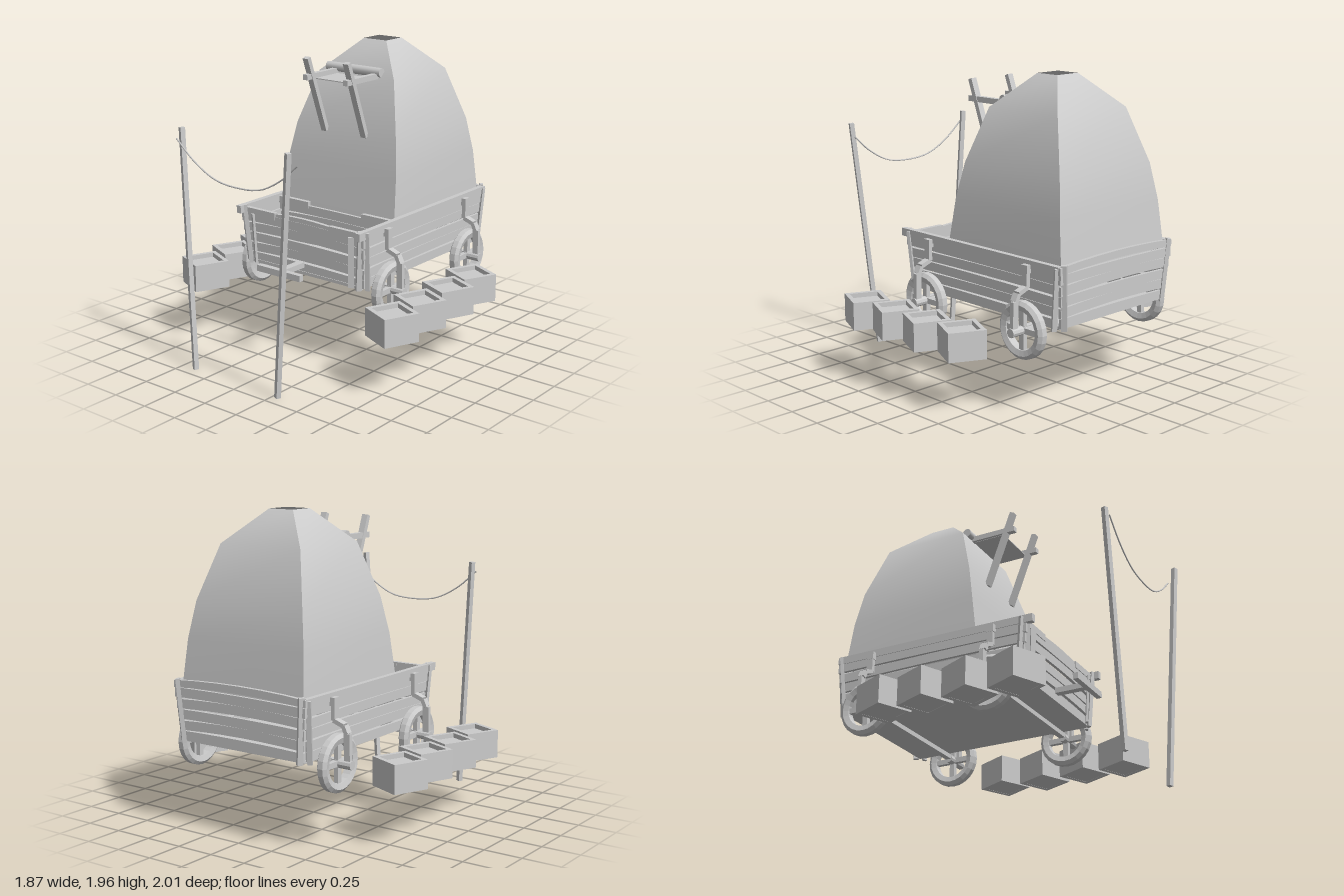
import * as THREE from 'three';

const mat = new THREE.MeshStandardMaterial({ color: 0xcccccc });
const flat = new THREE.MeshStandardMaterial({ color: 0xcccccc, flatShading: true });
const thin = new THREE.MeshStandardMaterial({ color: 0xcccccc, side: THREE.DoubleSide });

function add(parent, name, geo, x = 0, y = 0, z = 0, material = flat) {
  const m = new THREE.Mesh(geo, material);
  m.name = name;
  m.position.set(x, y, z);
  parent.add(m);
  return m;
}

function group(parent, name) {
  const g = new THREE.Group();
  g.name = name;
  parent.add(g);
  return g;
}

function box(parent, name, w, h, d, x, y, z) {
  return add(parent, name, new THREE.BoxGeometry(w, h, d), x, y, z);
}

// Square beam between two points
function beam(parent, name, a, b, w, h) {
  const from = new THREE.Vector3(...a), to = new THREE.Vector3(...b);
  const m = add(parent, name, new THREE.BoxGeometry(w, h, from.distanceTo(to)));
  m.position.copy(from).add(to).multiplyScalar(0.5);
  m.lookAt(to);
  return m;
}

// Plank along x whose middle is lifted by bow
function plank(parent, name, length, height, depth, y, z, bow) {
  const geo = new THREE.BoxGeometry(length, height, depth, 6, 1, 1);
  const p = geo.attributes.position;
  for (let i = 0; i < p.count; i++) {
    const t = p.getX(i) / (length / 2);
    p.setY(i, p.getY(i) + bow * (1 - t * t));
  }
  return add(parent, name, geo, 0, y, z);
}

// Wall of bowed planks, leaning outward (+z) towards the top
function plankWall(parent, name, length, lean, bow) {
  const wall = group(parent, name);
  for (let i = 0; i < 5; i++) {
    const t = i / 4;
    const p = plank(wall, 'plank', length + 0.07 * t, 0.058, 0.02,
      0.6 + i * 0.068, lean * t, bow * (i % 2 ? 1 : 0.5));
    p.rotation.z = (i % 2 ? 1 : -1) * 0.004;
  }
  return wall;
}

// Cloth cover: five rectangular rings, each side smooth, corners sharp
function coverGeometry() {
  // y, half width, front z, back z
  const rings = [
    [0.9, 0.46, 0, -0.96], [1.2, 0.438, -0.045, -0.925], [1.43, 0.4, -0.09, -0.885],
    [1.77, 0.3, -0.2, -0.77], [1.975, 0.09, -0.4, -0.565],
  ];
  const corner = ([y, x, f, b], k) => [[-x, y, f], [x, y, f], [x, y, b], [-x, y, b]][k % 4];
  const pos = [], idx = [];
  for (let s = 0; s < 4; s++) {
    rings.forEach((r, i) => {
      const n = pos.length / 3;
      pos.push(...corner(r, s), ...corner(r, s + 1));
      if (i < rings.length - 1) idx.push(n, n + 1, n + 3, n, n + 3, n + 2);
    });
  }
  const geo = new THREE.BufferGeometry();
  geo.setAttribute('position', new THREE.Float32BufferAttribute(pos, 3));
  geo.setIndex(idx);
  geo.computeVertexNormals();
  return geo;
}

function addWheel(parent, side, z) {
  const wheel = group(parent, 'wheel');
  wheel.position.set(side * 0.535, 0.535, z);
  // Rim with rounded tread
  const profile = [[0.12, -0.025], [0.155, -0.035], [0.177, -0.018], [0.177, 0.018],
    [0.155, 0.035], [0.12, 0.025], [0.12, -0.025]].map(([r, h]) => new THREE.Vector2(r, h));
  add(wheel, 'rim', new THREE.LatheGeometry(profile, 24)).rotation.z = Math.PI / 2;
  box(wheel, 'spoke', 0.03, 0.26, 0.035, 0, 0, 0);
  box(wheel, 'spoke', 0.03, 0.035, 0.26, 0, 0, 0);
  add(wheel, 'hub', new THREE.CylinderGeometry(0.028, 0.028, 0.17, 10), side * 0.02, 0, 0)
    .rotation.z = Math.PI / 2;
  // Bent bracket from the cart side over the wheel to the hub
  const bracket = group(parent, 'wheelBracket');
  const path = [[0.515, 0.91], [0.515, 0.79], [0.585, 0.765], [0.607, 0.72], [0.61, 0.53]];
  for (let i = 1; i < path.length; i++) {
    const [a, b] = [path[i - 1], path[i]];
    beam(bracket, 'bracketBar', [side * a[0], a[1], z], [side * b[0], b[1], z], 0.027, 0.042)
      .rotateZ(Math.abs(a[0] - b[0]) < 0.01 ? 0 : Math.PI / 2);
  }
  box(bracket, 'bracketCap', 0.04, 0.05, 0.05, side * 0.51, 0.9, z);
}

function addCrate(parent, x, z, angle) {
  const crate = group(parent, 'crate');
  crate.position.set(x, 0.36, z);
  crate.rotation.y = -angle;
  const s = 0.118, n = 0.09;
  const shape = new THREE.Shape([[-s, -s], [s, -s], [s, s], [-s, s]].map(p => new THREE.Vector2(...p)));
  shape.holes.push(new THREE.Path([[-n, -n], [-n, n], [n, n], [n, -n]].map(p => new THREE.Vector2(...p))));
  add(crate, 'crateWalls', new THREE.ExtrudeGeometry(shape, { depth: 0.18, bevelEnabled: false }))
    .rotation.x = -Math.PI / 2;
  box(crate, 'crateFilling', 0.18, 0.15, 0.18, 0, 0.076, 0);
}

export function createModel() {
  const model = new THREE.Group();
  model.name = 'coveredCart';

  // Cart bed
  const cart = group(model, 'cart');
  box(cart, 'floor', 0.92, 0.02, 1.28, 0, 0.575, -0.31);
  plankWall(cart, 'frontWall', 0.92, 0.025, 0.015).position.z = 0.315;
  plankWall(cart, 'partition', 0.86, 0, 0.015).position.z = 0.01;
  const back = plankWall(cart, 'backWall', 0.92, 0.025, 0.015);
  back.position.z = -0.955;
  back.rotation.y = Math.PI;
  for (const side of [-1, 1]) {
    const wall = plankWall(cart, 'sideWall', 1.26, 0.02, 0.008);
    wall.position.set(side * 0.465, 0, -0.305);
    wall.rotation.y = side * Math.PI / 2;
    box(cart, 'sideRail', 0.035, 0.05, 1.38, side * 0.482, 0.925, -0.285);
    // Corner and wall posts
    beam(cart, 'frontPost', [side * 0.44, 0.56, 0.335], [side * 0.47, 0.95, 0.355], 0.035, 0.025);
    beam(cart, 'backPost', [side * 0.44, 0.56, -0.97], [side * 0.47, 0.96, -0.99], 0.035, 0.025);
    beam(cart, 'innerPost', [side * 0.39, 0.57, 0.345], [side * 0.4, 0.9, 0.36], 0.035, 0.015);
    beam(cart, 'sidePost', [side * 0.485, 0.56, 0.3], [side * 0.5, 0.94, 0.335], 0.03, 0.02);
    beam(cart, 'sidePost', [side * 0.485, 0.56, -0.93], [side * 0.5, 0.94, -0.965], 0.03, 0.02);
    for (const z of [0.34, 0.01]) box(cart, 'railEnd', 0.25, 0.045, 0.03, side * 0.345, 0.912, z);
  }
  plank(cart, 'frontRail', 0.5, 0.03, 0.025, 0.91, 0.335, 0.012);
  plank(cart, 'backRail', 1.0, 0.045, 0.025, 0.925, -0.978, 0.02);

  // Running gear
  const gear = group(model, 'runningGear');
  for (const z of [0.13, -0.73]) {
    box(gear, 'axle', 1.08, 0.03, 0.04, 0, 0.545, z);
    for (const side of [-1, 1]) addWheel(gear, side, z);
  }
  box(gear, 'drawbar', 0.05, 0.035, 0.2, -0.02, 0.632, 0.43);
  box(gear, 'drawbarHandle', 0.35, 0.04, 0.035, -0.02, 0.632, 0.54);

  // Cloth cover, open at the crown
  add(model, 'cover', coverGeometry(), 0, 0, 0, thin);

  // Front awning: struts, arms, roller and cloth
  const awning = group(model, 'awning');
  for (const side of [-1, 1]) {
    const x = side * 0.16;
    beam(awning, 'awningStrut', [x, 1.41, -0.085], [x, 1.905, 0.1], 0.042, 0.03);
    box(awning, 'awningArm', 0.035, 0.035, 0.32, x, 1.782, -0.045);
  }
  add(awning, 'roller', new THREE.CylinderGeometry(0.03, 0.03, 0.43, 10), -0.018, 1.805, -0.21, mat)
    .rotation.z = Math.PI / 2;
  box(awning, 'awningCloth', 0.32, 0.006, 0.22, 0, 1.765, -0.08);

  // Poles with a hanging rope
  const poles = group(model, 'ropePoles');
  beam(poles, 'leftPole', [0.287, 0.015, 0.925], [0.44, 1.555, 0.982], 0.03, 0.03);
  beam(poles, 'rightPole', [-0.393, 0.015, 0.925], [-0.482, 1.555, 0.89], 0.03, 0.03);
  const rope = new THREE.CatmullRomCurve3([
    [-0.495, 1.49], [-0.35, 1.37], [-0.18, 1.285], [0, 1.265], [0.18, 1.285], [0.34, 1.37], [0.455, 1.47],
  ].map(([x, y]) => new THREE.Vector3(x, y, 0.925)));
  add(poles, 'rope', new THREE.TubeGeometry(rope, 24, 0.005, 6), 0, 0, 0, mat);

  // Crates in a row on each side
  const crates = group(model, 'crates');
  [[-0.78, -0.44, 0.4], [-0.78, -0.155, 0.4], [-0.775, 0.14, 0.43], [-0.765, 0.435, 0.42],
    [0.755, -0.44, 0.45], [0.775, -0.15, 0.42], [0.77, 0.15, 0.43], [0.77, 0.435, 0.42],
  ].forEach(c => addCrate(crates, ...c));

  return model;
}
